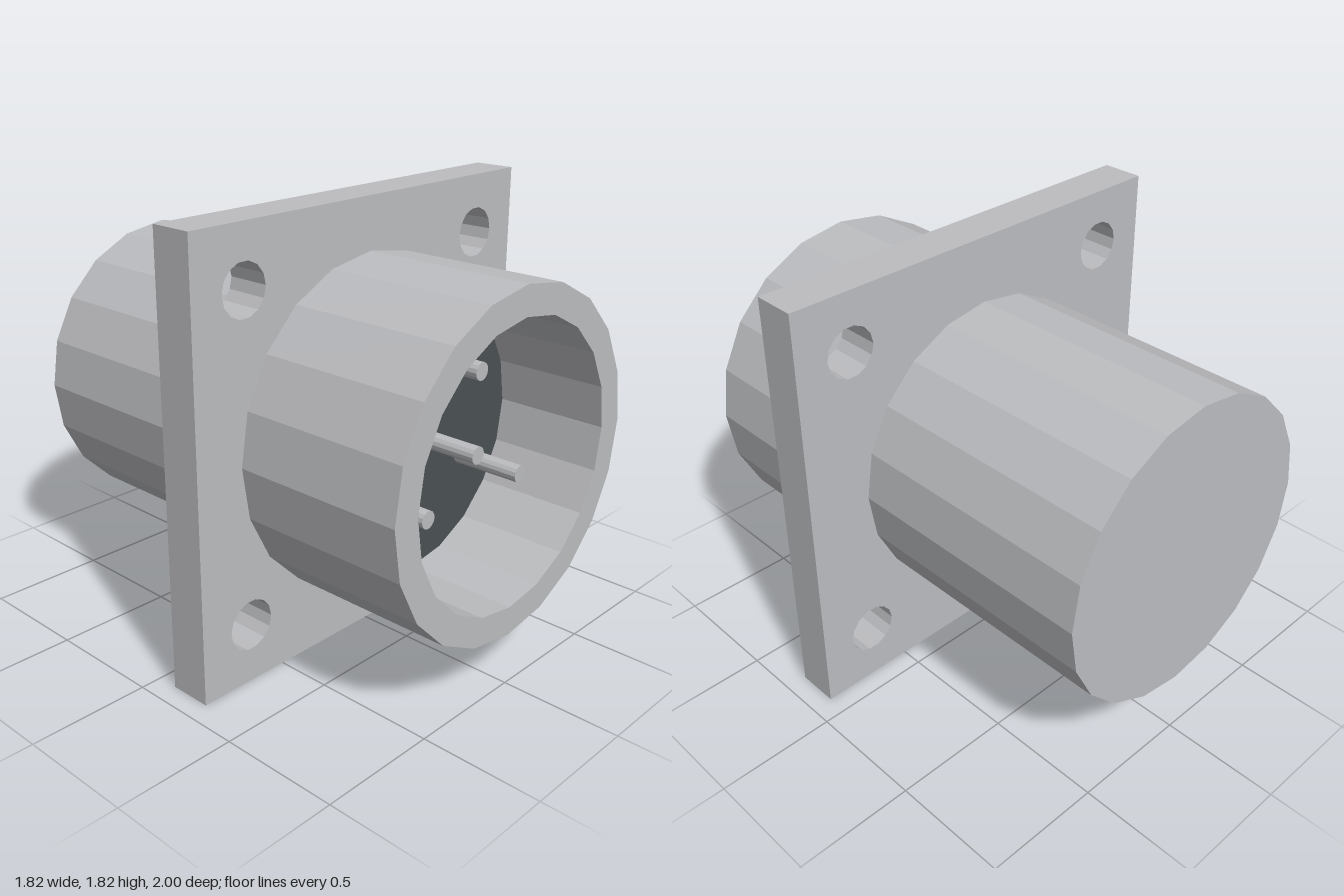
import * as THREE from 'three';

const CY = 0.91; // height of the connector axis

// Points of a regular polygon with a corner on the +x axis
function ngon(radius, sides, cx = 0, cy = 0) {
  return Array.from({ length: sides }, (_, i) => {
    const a = (i / sides) * Math.PI * 2;
    return new THREE.Vector2(cx + radius * Math.cos(a), cy + radius * Math.sin(a));
  });
}

// Faceted solid swept along z from z0 to z1, with optional holes
function prism(name, outline, z0, z1, material, holes = []) {
  const shape = new THREE.Shape(outline);
  for (const hole of holes) shape.holes.push(new THREE.Path(hole));
  const geometry = new THREE.ExtrudeGeometry(shape, { depth: z1 - z0, bevelEnabled: false });
  geometry.translate(0, CY, z0);
  const mesh = new THREE.Mesh(geometry, material);
  mesh.name = name;
  return mesh;
}

export function createModel() {
  const metal = new THREE.MeshStandardMaterial({ color: 0xbcbdc0 });
  metal.name = 'light grey metal';
  const dark = new THREE.MeshStandardMaterial({ color: 0x4b5054 });
  dark.name = 'dark grey insulator';

  const group = new THREE.Group();
  group.name = 'flangeConnector';

  // Square flange with four mounting holes
  const h = 0.91, m = 0.665;
  const square = [[-h, -h], [h, -h], [h, h], [-h, h]].map(([x, y]) => new THREE.Vector2(x, y));
  const mountingHoles = [[-m, -m], [m, -m], [m, m], [-m, m]].map(([x, y]) => ngon(0.105, 14, x, y));
  group.add(prism('flange', square, 0.09, 0.27, metal, mountingHoles));

  // Rear body and hollow front shell
  group.add(prism('rearBody', ngon(0.635, 20), -1, 0.15, metal));
  group.add(prism('frontShell', ngon(0.695, 20), 0.2, 1, metal, [ngon(0.575, 20)]));

  // Insulating floor of the socket
  group.add(prism('insulator', ngon(0.575, 20), 0.2, 0.52, dark));

  // One centre pin and three pins around it
  const pins = new THREE.Group();
  pins.name = 'contactPins';
  const centres = [[0, 0]];
  for (const deg of [90, 210, 330]) {
    const a = THREE.MathUtils.degToRad(deg);
    centres.push([0.333 * Math.cos(a), 0.333 * Math.sin(a)]);
  }
  centres.forEach(([x, y], i) => {
    pins.add(prism(`pin${i + 1}`, ngon(0.036, 14, x, y), 0.5, 0.82, metal));
  });
  group.add(pins);

  return group;
}
